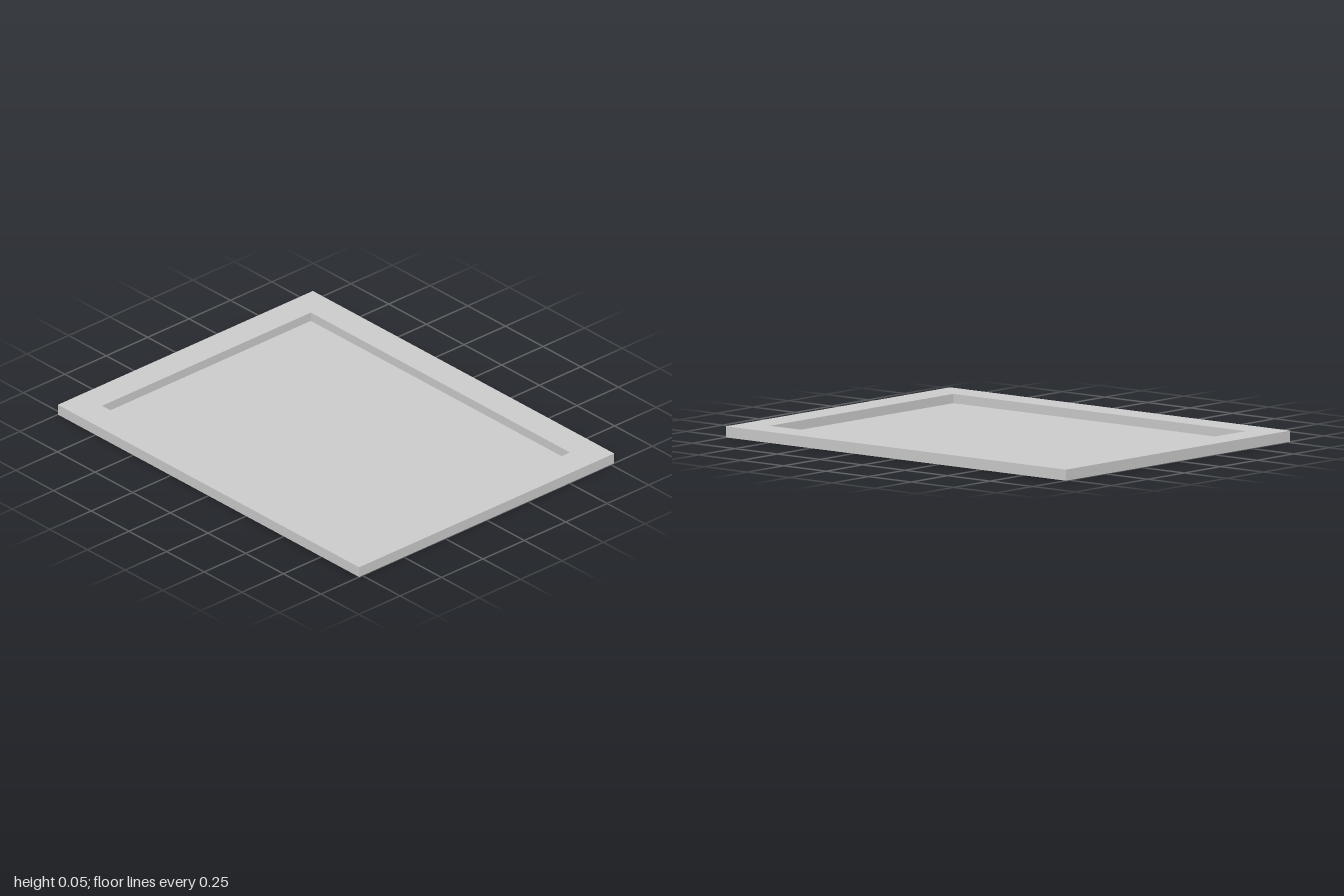
import * as THREE from 'three';

const CORNERS = [[1, 1], [1, -1], [-1, -1], [-1, 1]];

// Skins a series of rectangular sections [halfWidth, y, halfDepth] with flat faces
function rectangularShell(sections) {
  const positions = [];
  const point = ([w, y, d], corner) => {
    const [sx, sz] = CORNERS[corner % 4];
    return [sx * w, y, sz * d];
  };
  for (let i = 0; i < sections.length - 1; i++) {
    for (let c = 0; c < 4; c++) {
      const a = point(sections[i], c), b = point(sections[i], c + 1);
      const e = point(sections[i + 1], c + 1), f = point(sections[i + 1], c);
      positions.push(...a, ...b, ...e, ...a, ...e, ...f);
    }
  }
  const geometry = new THREE.BufferGeometry();
  geometry.setAttribute('position', new THREE.Float32BufferAttribute(positions, 3));
  geometry.computeVertexNormals();
  return geometry;
}

export function createModel() {
  const group = new THREE.Group();
  group.name = 'recessedTray';
  const material = new THREE.MeshStandardMaterial({ color: 0xcccccc, side: THREE.DoubleSide });

  const outerW = 0.77, outerD = 1, innerW = 0.63, innerD = 0.86;
  const top = 0.05, floorY = 0.008;

  // Frame, open underneath: outer wall, flat rim, wall down into the recess
  const frame = new THREE.Mesh(rectangularShell([
    [outerW, 0, outerD],
    [outerW, top, outerD],
    [innerW, top, innerD],
    [innerW, floorY, innerD],
  ]), material);
  frame.name = 'frame';
  group.add(frame);

  // Thin sunken panel
  const panel = new THREE.Mesh(new THREE.PlaneGeometry(innerW * 2, innerD * 2), material);
  panel.name = 'panel';
  panel.rotation.x = -Math.PI / 2;
  panel.position.y = floorY;
  group.add(panel);

  return group;
}
